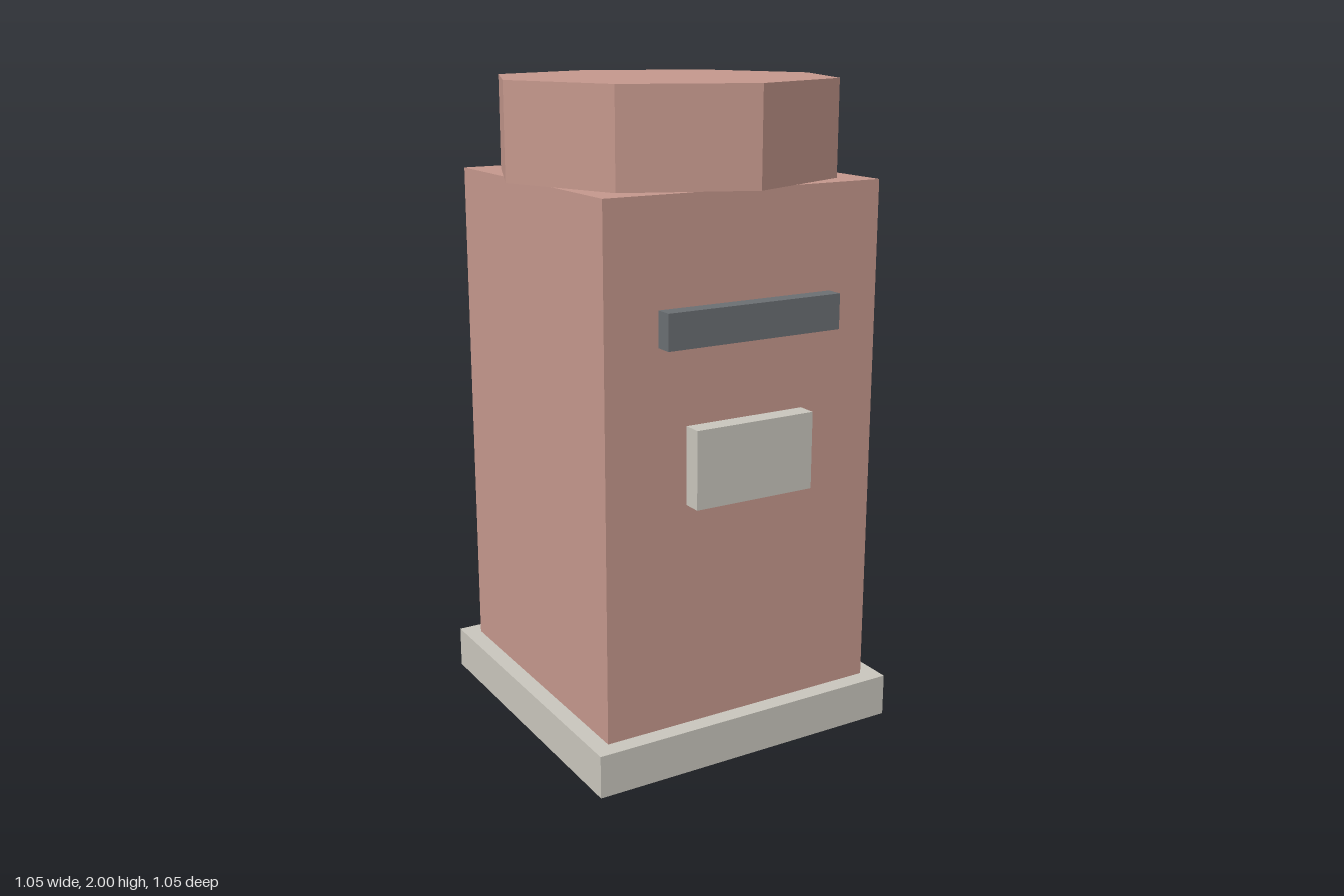
import * as THREE from 'three';

export function createModel() {
  const model = new THREE.Group();
  model.name = 'postBox';

  const mat = (name, color) => {
    const m = new THREE.MeshStandardMaterial({ color });
    m.name = name;
    return m;
  };
  const brick = mat('dusty red', 0xc4978c);
  const stone = mat('pale stone', 0xc8c5bc);
  const slate = mat('dark slate', 0x6a6e72);

  // Adds a part whose underside sits at height y
  const add = (name, geometry, material, y, height, z = 0) => {
    const mesh = new THREE.Mesh(geometry, material);
    mesh.name = name;
    mesh.position.set(0, y + height / 2, z);
    model.add(mesh);
  };
  const box = (name, material, w, h, d, y, z) =>
    add(name, new THREE.BoxGeometry(w, h, d), material, y, h, z);

  // Plinth and square pillar
  box('base', stone, 1.027, 0.132, 1.027, 0, 0);
  box('body', brick, 0.92, 1.58, 0.92, 0.132, 0);

  // Octagonal cap with corners on the axes
  const cap = new THREE.CylinderGeometry(0.526, 0.526, 0.288, 8).toNonIndexed();
  cap.computeVertexNormals();
  add('cap', cap, brick, 1.712, 0.288);

  // Raised slot and notice plate on the front
  box('letterSlot', slate, 0.578, 0.106, 0.07, 1.291, 0.478);
  box('noticePlate', stone, 0.396, 0.235, 0.07, 0.82, 0.484);

  return model;
}
